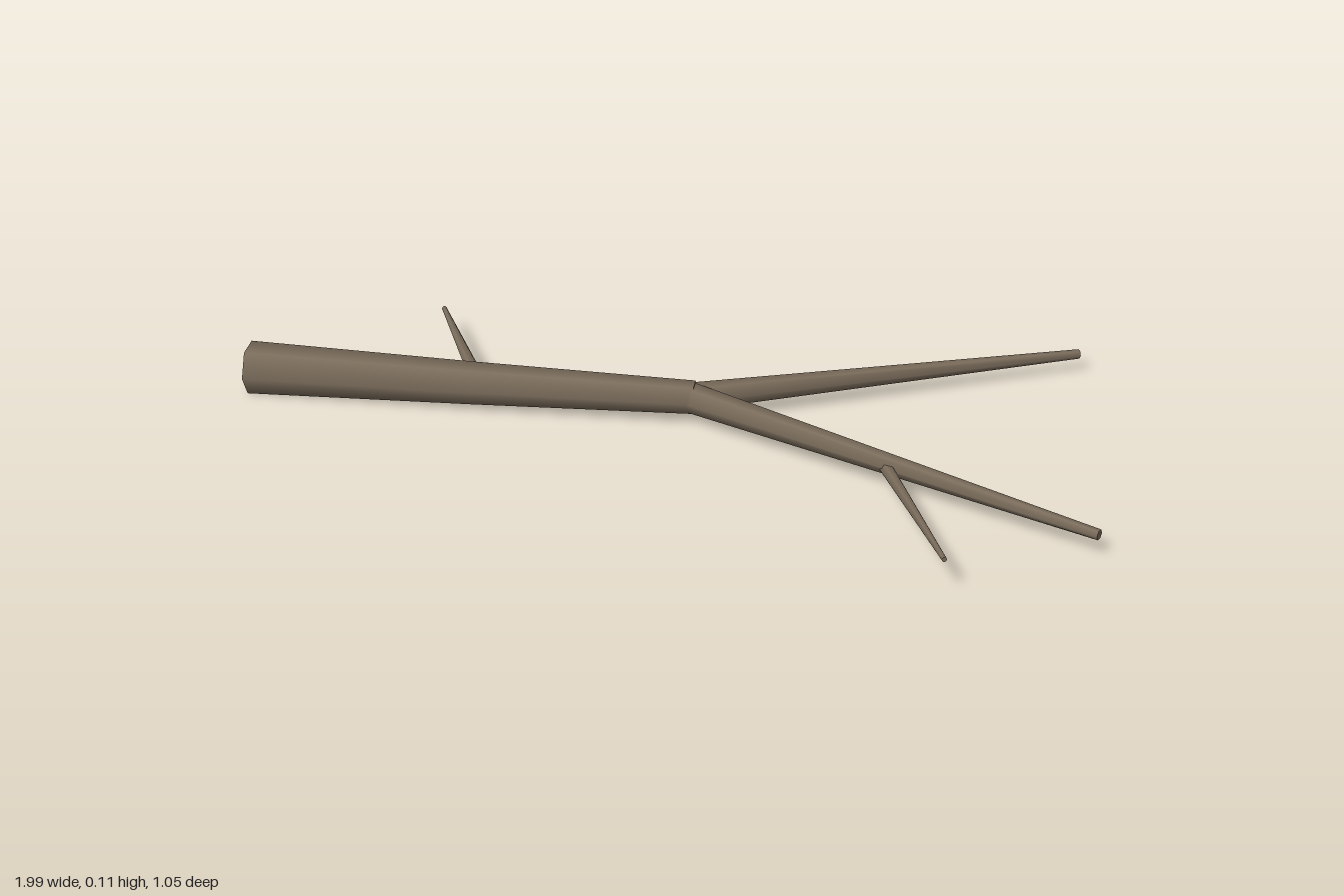
import * as THREE from 'three';

const SIDES = 6;
const bark = new THREE.MeshStandardMaterial({ color: 0x7a6c5b, roughness: 0.9, side: THREE.DoubleSide });

// Tapered six-sided limb through stations [x, y, z, radius], flat on top, capped at both ends
function limb(name, stations) {
  const points = stations.map(s => new THREE.Vector3(s[0], s[1], s[2]));
  const positions = [], normals = [], index = [];
  const rings = points.map((p, i) => {
    const dir = points[Math.min(i + 1, points.length - 1)].clone().sub(points[Math.max(i - 1, 0)]).normalize();
    const side = new THREE.Vector3().crossVectors(dir, new THREE.Vector3(0, 1, 0)).normalize();
    const up = new THREE.Vector3().crossVectors(side, dir);
    const ring = [];
    for (let k = 0; k < SIDES; k++) {
      const a = k / SIDES * Math.PI * 2;
      const n = side.clone().multiplyScalar(Math.cos(a)).addScaledVector(up, Math.sin(a));
      const v = p.clone().addScaledVector(n, stations[i][3]);
      ring.push(v);
      positions.push(...v.toArray());
      normals.push(...n.toArray());
    }
    return { ring, dir };
  });

  // Bark surface with smooth normals
  for (let i = 0; i < rings.length - 1; i++) {
    for (let k = 0; k < SIDES; k++) {
      const a = i * SIDES + k, b = i * SIDES + (k + 1) % SIDES;
      index.push(a, a + SIDES, b, b, a + SIDES, b + SIDES);
    }
  }
  for (let t = 0; t < index.length; t += 3) {
    [index[t + 1], index[t + 2]] = [index[t + 2], index[t + 1]];
  }

  // Flat cut ends
  [[rings[0], -1], [rings[rings.length - 1], 1]].forEach(([{ ring, dir }, sign]) => {
    const base = positions.length / 3;
    ring.forEach(v => {
      positions.push(...v.toArray());
      normals.push(...dir.clone().multiplyScalar(sign).toArray());
    });
    for (let k = 1; k < SIDES - 1; k++) {
      index.push(base, base + (sign < 0 ? k : k + 1), base + (sign < 0 ? k + 1 : k));
    }
  });

  const geometry = new THREE.BufferGeometry();
  geometry.setAttribute('position', new THREE.Float32BufferAttribute(positions, 3));
  geometry.setAttribute('normal', new THREE.Float32BufferAttribute(normals, 3));
  // Make every triangle wind outward, in agreement with its normals
  const P = j => new THREE.Vector3().fromArray(positions, j * 3);
  const N = j => new THREE.Vector3().fromArray(normals, j * 3);
  for (let t = 0; t < index.length; t += 3) {
    const [a, b, c] = index.slice(t, t + 3);
    const face = P(b).sub(P(a)).cross(P(c).sub(P(a)));
    if (face.dot(N(a).add(N(b)).add(N(c))) < 0) {
      index[t + 1] = c;
      index[t + 2] = b;
    }
  }
  geometry.setIndex(index);
  const mesh = new THREE.Mesh(geometry, bark);
  mesh.name = name;
  return mesh;
}

export function createModel() {
  const model = new THREE.Group();
  model.name = 'forkedBranch';
  model.add(
    // Thick stem, bending slightly towards the fork
    limb('mainStem', [
      [-1, 0.054, -0.027, 0.061],
      [-0.47, 0.061, -0.048, 0.049],
      [0.04, 0.063, -0.084, 0.038],
    ]),
    // The two arms of the fork
    limb('backFork', [[0.03, 0.062, -0.087, 0.032], [0.87, 0.044, -0.517, 0.011]]),
    limb('frontFork', [[0.03, 0.062, -0.083, 0.035], [0.988, 0.049, 0.304, 0.012]]),
    // Small side shoots
    limb('stemTwig', [[-0.46, 0.06, -0.06, 0.018], [-0.634, 0.069, -0.385, 0.006]]),
    limb('forkTwig', [[0.505, 0.048, 0.11, 0.016], [0.688, 0.078, 0.518, 0.006]]),
  );
  return model;
}
